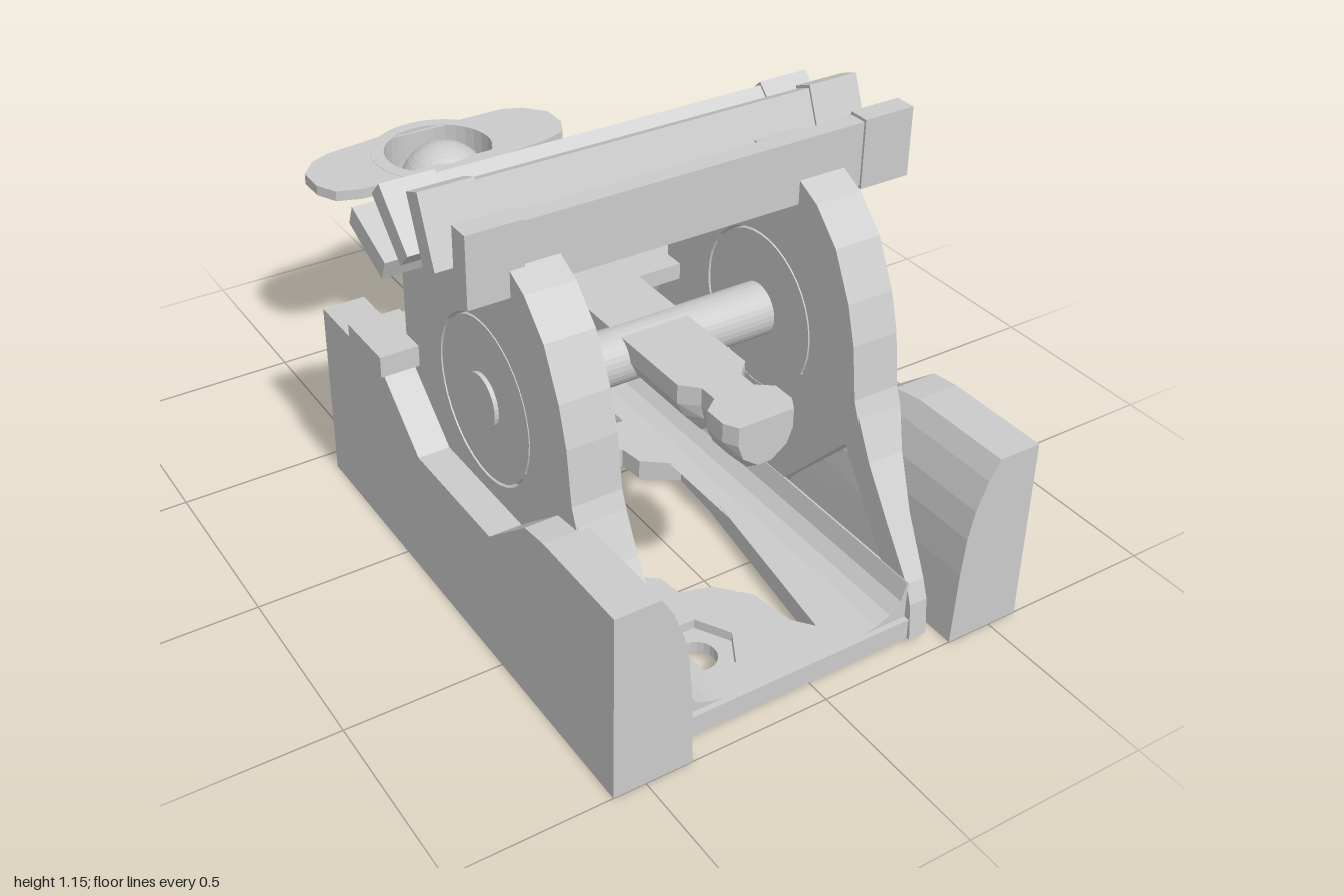
import * as THREE from 'three';

const CX = -0.045; // centre line of the frame and arm
const CZ = 0.295, CY = 0.615; // axle centre
const mat = new THREE.MeshStandardMaterial({ color: 0xcccccc, flatShading: true });

function add(parent, name, geo, x = 0, y = 0, z = 0) {
  const m = new THREE.Mesh(geo, mat);
  m.name = name;
  m.position.set(x, y, z);
  parent.add(m);
  return m;
}

// Skin a row of equal, convex rings of points and cap both ends
function loft(rings) {
  const n = rings[0].length, pos = rings.flat(2), idx = [];
  for (let r = 0; r < rings.length - 1; r++)
    for (let i = 0; i < n; i++) {
      const a = r * n + i, b = r * n + (i + 1) % n;
      idx.push(a, b, b + n, a, b + n, a + n);
    }
  const e = (rings.length - 1) * n;
  for (let i = 1; i < n - 1; i++) idx.push(0, i + 1, i, e, e + i, e + i + 1);
  // make the faces point outwards
  const v = (i) => new THREE.Vector3().fromArray(pos, i * 3);
  let vol = 0;
  for (let i = 0; i < idx.length; i += 3) vol += v(idx[i]).dot(v(idx[i + 1]).cross(v(idx[i + 2])));
  if (vol < 0) idx.reverse();
  const g = new THREE.BufferGeometry();
  g.setAttribute('position', new THREE.Float32BufferAttribute(pos, 3));
  g.setIndex(idx);
  g.computeVertexNormals();
  return g;
}

const shapeOf = (pts) => new THREE.Shape(pts.map(([a, b]) => new THREE.Vector2(a, b)));
const extrude = (shape, depth) =>
  new THREE.ExtrudeGeometry(shape, { depth, bevelEnabled: false, curveSegments: 24 });

function polygonPath(x, y, r, n) {
  const pts = [];
  for (let i = 0; i < n; i++) {
    const a = (i / n) * Math.PI * 2;
    pts.push(new THREE.Vector2(x + r * Math.cos(a), y + r * Math.sin(a)));
  }
  return new THREE.Path(pts);
}

export function createModel() {
  const root = new THREE.Group();
  root.name = 'catapult';

  // Side blocks: inner face curves outwards, top is notched for the discs
  const innerX = [[0, 0.375], [0.2, 0.383], [0.3, 0.391], [0.36, 0.402], [0.42, 0.418], [0.47, 0.443], [0.51, 0.468]];
  const xAt = (y) => {
    for (let i = 1; i < innerX.length; i++) {
      const [y0, x0] = innerX[i - 1], [y1, x1] = innerX[i];
      if (y <= y1 + 1e-6) return x0 + ((x1 - x0) * (y - y0)) / (y1 - y0);
    }
    return 0.468;
  };
  const tops = [[1, 0.51], [0.71, 0.51], [0.63, 0.5], [0.46, 0.36], [0.1, 0.36], [-0.08, 0.51], [-0.435, 0.51]];
  for (const s of [-1, 1]) {
    add(root, s > 0 ? 'leftBlock' : 'rightBlock', loft(tops.map(([z, h]) => [
      [s * 0.585, 0, z],
      ...[0, 0.4, 0.6, 0.75, 0.9, 1].map((t) => [s * xAt(h * t), h * t, z]),
      [s * 0.585, h, z],
    ])));
  }

  // Floor plate in two layers: round screw holes below, hexagonal recesses above
  const frame = new THREE.Group();
  frame.name = 'frame';
  root.add(frame);
  const halfOpening = [[0.08, 0.85], [0.04, 0.8], [0.02, 0.68], [-0.05, 0.6], [-0.13, 0.58], [-0.14, 0.51], [-0.23, 0.44], [-0.22, 0.29]];
  const opening = [...halfOpening, ...halfOpening.map(([x, z]) => [-0.06 - x, 0.58 - z])];
  const screws = [[-0.205, 0.765], [0.155, -0.195]];
  const floorLayer = (name, top, depth, r, sides) => {
    const sh = shapeOf([[CX - 0.38, -0.38], [CX + 0.38, -0.38], [CX + 0.38, 0.95], [CX - 0.38, 0.95]]);
    sh.holes.push(new THREE.Path(opening.map(([x, z]) => new THREE.Vector2(x, z))));
    for (const [x, z] of screws) sh.holes.push(polygonPath(x, z, r, sides));
    add(frame, name, extrude(sh, depth).rotateX(Math.PI / 2), 0, top, 0);
  };
  floorLayer('floorBottom', 0.05, 0.03, 0.05, 20);
  floorLayer('floorTop', 0.076, 0.026, 0.1, 6);

  // Side plate with a round seat for the bearing disc
  const plate = shapeOf([[0.71, 0.51], [0.69, 0.56], [0.67, 0.7], [0.64, 0.8], [0.58, 0.92], [0.5, 1.0], [0.41, 1.045],
    [0.3, 1.065], [0.2, 1.06], [0.1, 1.02], [0, 0.93], [-0.05, 0.84], [-0.11, 0.78], [-0.11, 0.58], [-0.08, 0.51],
    [0.1, 0.36], [0.46, 0.36], [0.63, 0.5]]);
  plate.holes.push(polygonPath(CZ, CY, 0.215, 40));
  const plateGeo = extrude(plate, 0.13).rotateY(-Math.PI / 2);

  // Legs below the plate: height, half depth, half depth of the middle web, outer half width
  const legs = [[0.02, 0.665, 0.05, 0.38], [0.12, 0.655, 0.1, 0.38], [0.17, 0.635, 0.14, 0.381],
    [0.3, 0.545, 0.26, 0.4], [0.42, 0.465, 0.37, 0.43], [0.52, 0.415, 0.4, 0.455]];
  const legLoft = (s, rows, z0, z1) => loft(rows.map((r) => {
    const a = CZ + z0(r), b = CZ + z1(r), xi = CX + s * 0.327, xo = CX + s * (r[3] - 0.002);
    return [[xi, r[0], a], [xo, r[0], a], [xo, r[0], b], [xi, r[0], b]];
  }));
  const fillet = shapeOf([[0.33, 0.06], [0.19, 0.074], [0.24, 0.084], [0.28, 0.1], [0.31, 0.13], [0.325, 0.18], [0.33, 0.18]]
    .map(([x, y]) => [x, y]));
  for (const s of [-1, 1]) {
    const side = s > 0 ? 'left' : 'right';
    add(frame, side + 'Plate', plateGeo, CX + (s > 0 ? 0.455 : -0.325));
    add(frame, side + 'Footing', legLoft(s, legs.slice(0, 2), (r) => -r[1], (r) => r[1]));
    add(frame, side + 'Web', legLoft(s, legs.slice(1), (r) => -r[2], (r) => r[2]));
    add(frame, side + 'FrontStrut', legLoft(s, legs.slice(1), (r) => r[1] - 0.09, (r) => r[1]));
    add(frame, side + 'RearStrut', legLoft(s, legs.slice(1), (r) => -r[1], (r) => 0.09 - r[1]));
    const f = add(frame, side + 'Fillet', extrude(fillet, 1.3).translate(0, 0, -0.65), CX, 0, 0.285);
    if (s < 0) f.rotation.y = Math.PI;
    // Bearing disc
    add(frame, side + 'Disc', new THREE.CylinderGeometry(0.208, 0.208, 0.128, 40).rotateZ(Math.PI / 2), CX + s * 0.39, CY, CZ);
  }

  // Axle
  add(root, 'axle', new THREE.CylinderGeometry(0.07, 0.07, 0.93, 32).rotateZ(Math.PI / 2), CX, CY, CZ);

  // Slats around the top and rear: z, y, tilt in degrees
  const slats = [[0.41, 1.055, 0], [0.227, 1.056, 22], [0.066, 1.0, 46], [-0.07, 0.888, 67], [-0.135, 0.55, 90]];
  slats.forEach(([z, y, deg], i) => {
    const g = new THREE.Group();
    g.name = 'slat' + (i + 1);
    g.position.set(0, y, z);
    g.rotation.x = -THREE.MathUtils.degToRad(deg);
    root.add(g);
    add(g, 'slatBar', new THREE.BoxGeometry(1.0, 0.168, 0.046));
    for (const s of [-1, 1]) add(g, 'slatEnd', new THREE.BoxGeometry(0.143, 0.183, 0.058), s * 0.5335);
  });

  // Throwing arm with a necked hook at the front: z, half width, bottom height
  const arm = new THREE.Group();
  arm.name = 'throwingArm';
  arm.position.x = CX;
  root.add(arm);
  const armRows = [[-0.72, 0.15, 0.5], [-0.67, 0.125, 0.5], [-0.62, 0.102, 0.52], [-0.55, 0.095, 0.525], [0.56, 0.095, 0.53],
    [0.6, 0.055, 0.57], [0.65, 0.055, 0.57], [0.68, 0.095, 0.535], [0.74, 0.095, 0.535], [0.775, 0.075, 0.56]];
  add(arm, 'armBeam', loft(armRows.map(([z, w, b]) => [
    [-w, 0.68, z], [-w, 0.63, z], [-w * 0.8, 0.59, z], [-w * 0.25, b, z],
    [w * 0.25, b, z], [w * 0.8, 0.59, z], [w, 0.63, z], [w, 0.68, z],
  ])));

  // Bowl, its ball and the flat wings
  const bowl = [];
  for (let i = 0; i <= 10; i++) {
    const a = (i / 10) * Math.PI / 2;
    bowl.push(new THREE.Vector2(0.195 * Math.sin(a), 0.585 - 0.195 * Math.cos(a)));
  }
  bowl.push(new THREE.Vector2(0.195, 0.68), new THREE.Vector2(0.157, 0.68));
  for (let i = 10; i >= 0; i--) {
    const a = (i / 10) * Math.PI / 2;
    bowl.push(new THREE.Vector2(0.157 * Math.sin(a), 0.585 - 0.157 * Math.cos(a)));
  }
  add(arm, 'bowl', new THREE.LatheGeometry(bowl, 32), 0, 0, -0.805);
  add(arm, 'ball', new THREE.SphereGeometry(0.13, 28, 18), 0, 0.575, -0.78);
  const halfWing = [[0.28, -0.125], [0.34, -0.1], [0.39, -0.04], [0.39, 0.04], [0.36, 0.1], [0.29, 0.125]];
  const wings = shapeOf([...halfWing, ...halfWing.map(([x, z]) => [-x, z]).reverse()]);
  wings.holes.push(polygonPath(0, 0, 0.16, 32));
  wings.holes[0].curves.length && add(arm, 'wings', extrude(wings, 0.03).rotateX(Math.PI / 2), 0, 0.679, -0.82);

  // Tie-down post at the rear of the floor: height, half width, half depth
  const post = [[0.07, 0.08, 0.07], [0.1, 0.06, 0.055], [0.15, 0.053, 0.045], [0.22, 0.056, 0.045], [0.26, 0.068, 0.06],
    [0.3, 0.08, 0.075], [0.32, 0.072, 0.065]];
  add(root, 'postBase', new THREE.CylinderGeometry(0.1, 0.1, 0.03, 24), CX, 0.075, -0.26);
  add(root, 'post', loft(post.map(([y, w, d]) => [
    [w, y, d * 0.5], [w * 0.5, y, d], [-w * 0.5, y, d], [-w, y, d * 0.5],
    [-w, y, -d * 0.5], [-w * 0.5, y, -d], [w * 0.5, y, -d], [w, y, -d * 0.5],
  ])), CX, 0, -0.26);

  return root;
}
